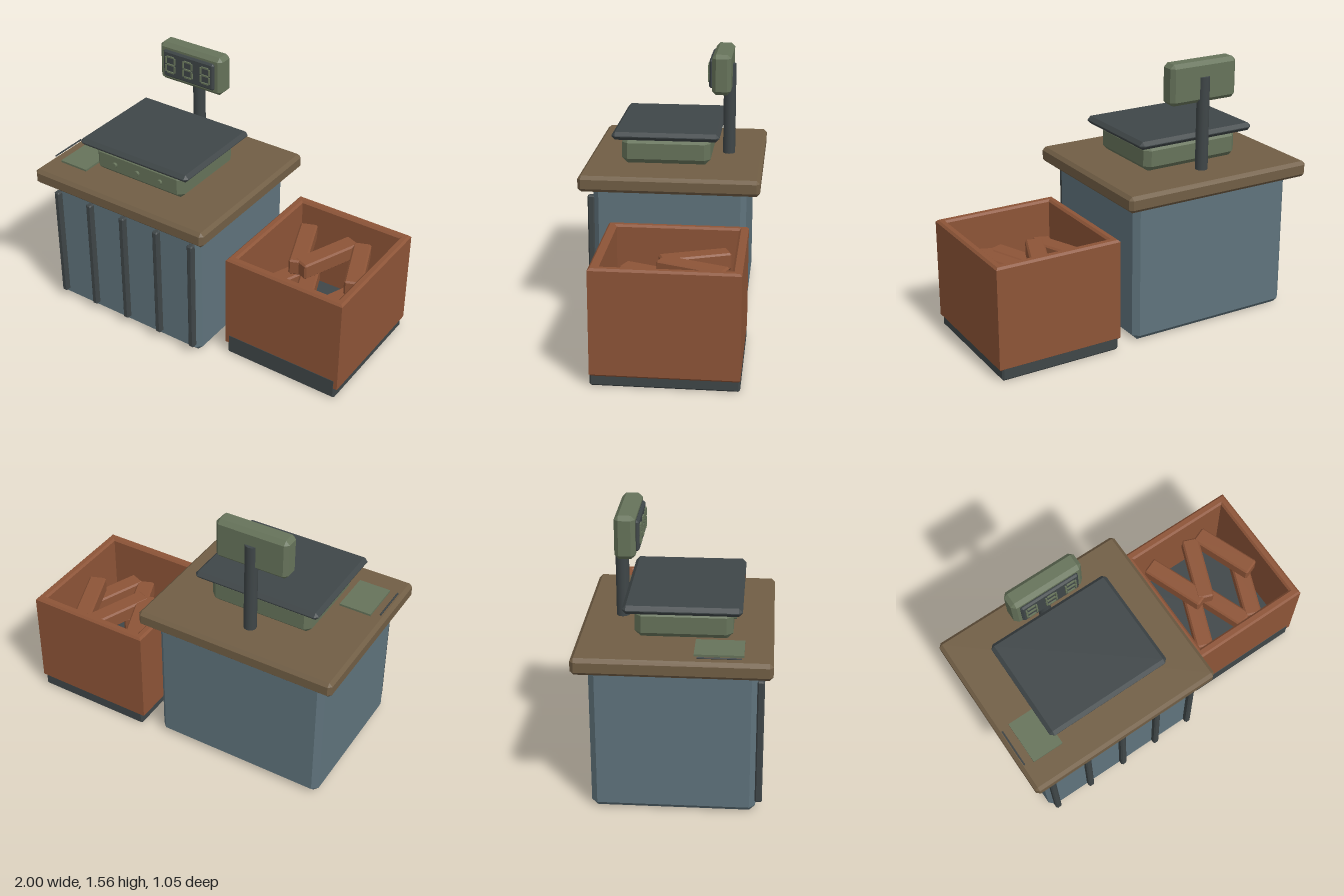
import * as THREE from 'three';
import { ConvexGeometry } from 'three/addons/geometries/ConvexGeometry.js';

const mat = (name, color) => {
  const m = new THREE.MeshStandardMaterial({ color });
  m.name = name;
  return m;
};

// Box with every edge chamfered by c, centred on its origin
function chamferBox(w, h, d, c) {
  const pts = [];
  const [x, y, z] = [w / 2, h / 2, d / 2];
  for (const i of [-1, 1]) for (const j of [-1, 1]) for (const k of [-1, 1]) {
    pts.push(
      new THREE.Vector3(i * x, j * (y - c), k * (z - c)),
      new THREE.Vector3(i * (x - c), j * y, k * (z - c)),
      new THREE.Vector3(i * (x - c), j * (y - c), k * z));
  }
  return new ConvexGeometry(pts);
}

export function createModel() {
  const teal = mat('cabinet teal', 0x5f737c);
  const wood = mat('counter brown', 0x715e45);
  const rust = mat('crate rust', 0x8d5437);
  const dark = mat('charcoal', 0x3f4648);
  const green = mat('sage green', 0x66735a);
  const root = new THREE.Group();
  root.name = 'checkoutCounter';

  const add = (parent, name, geometry, material, x = 0, y = 0, z = 0) => {
    const mesh = new THREE.Mesh(geometry, material);
    mesh.name = name;
    mesh.position.set(x, y, z);
    parent.add(mesh);
    return mesh;
  };
  // Chamfered box given by its extents
  const block = (parent, name, material, [x0, x1], [y0, y1], [z0, z1], c) =>
    add(parent, name, chamferBox(x1 - x0, y1 - y0, z1 - z0, c), material,
      (x0 + x1) / 2, (y0 + y1) / 2, (z0 + z1) / 2);
  const group = (name) => {
    const g = new THREE.Group();
    g.name = name;
    root.add(g);
    return g;
  };

  // Counter: cabinet, front slats and worktop
  const counter = group('counter');
  block(counter, 'cabinet', teal, [-0.92, 0.13], [0, 0.85], [-0.445, 0.445], 0.033);
  for (let i = 0; i < 5; i++) {
    const x = -0.88 + i * 0.2425;
    block(counter, 'frontSlat', dark, [x - 0.019, x + 0.019], [0.053, 0.78], [0.44, 0.48], 0.008);
  }
  block(counter, 'worktop', wood, [-1, 0.21], [0.83, 0.925], [-0.525, 0.522], 0.02);

  // Paper pad and pen
  add(counter, 'paper', new THREE.BoxGeometry(0.19, 0.012, 0.26), green, -0.825, 0.931, 0.24);
  const pen = add(counter, 'pen', new THREE.CylinderGeometry(0.005, 0.005, 0.23, 6), dark, -0.972, 0.943, 0.243);
  pen.rotation.x = Math.PI / 2;

  // Weighing scale
  const scale = group('scale');
  block(scale, 'scaleBody', green, [-0.71, -0.08], [0.92, 1.085], [-0.22, 0.305], 0.035);
  block(scale, 'weighingPlate', dark, [-0.78, -0.01], [1.083, 1.13], [-0.277, 0.355], 0.021);
  for (const x of [-0.558, -0.395, -0.232]) {
    const button = add(scale, 'button', new THREE.CylinderGeometry(0.016, 0.016, 0.02, 10), green, x, 1, 0.31);
    button.rotation.x = Math.PI / 2;
  }

  // Display on its post
  const display = group('display');
  add(display, 'post', new THREE.CylinderGeometry(0.037, 0.037, 0.555, 12), dark, -0.395, 1.1975, -0.313);
  block(display, 'displayHousing', green, [-0.615, -0.175], [1.325, 1.565], [-0.33, -0.218], 0.023);
  block(display, 'screen', dark, [-0.575, -0.215], [1.36, 1.53], [-0.225, -0.2], 0.01);
  const flat = new THREE.BoxGeometry(0.048, 0.009, 0.008);
  const upright = new THREE.BoxGeometry(0.009, 0.042, 0.008);
  for (let d = -1; d <= 1; d++) {
    const x = -0.395 + d * 0.124;
    for (const j of [-1, 0, 1]) add(display, 'segment', flat, green, x, 1.447 + j * 0.05, -0.196);
    for (const i of [-1, 1]) for (const j of [-1, 1])
      add(display, 'segment', upright, green, x + i * 0.031, 1.447 + j * 0.026, -0.196);
  }

  // Open crate: bevelled wall ring on a dark base
  const crate = group('crate');
  const b = 0.012;
  const rect = (Ctor, w, d) => new Ctor([[-w, -d], [w, -d], [w, d], [-w, d]].map(([x, y]) => new THREE.Vector2(x, y)));
  const ring = rect(THREE.Shape, 0.3775 - b, 0.401 - b);
  ring.holes.push(rect(THREE.Path, 0.327 + b, 0.348 + b));
  const walls = new THREE.ExtrudeGeometry(ring, {
    depth: 0.61 - 2 * b, bevelEnabled: true, bevelSize: b, bevelThickness: b, bevelSegments: 1,
  });
  walls.rotateX(-Math.PI / 2);
  add(crate, 'crateWalls', walls, rust, 0.6175, 0.06 + b, -0.067);
  block(crate, 'crateBase', dark, [0.255, 0.98], [0, 0.135], [-0.467, 0.3355], 0.01);

  // Two layers of bars piled in alternating directions
  const bar = chamferBox(0.105, 0.1, 0.4, 0.01);
  for (const [y, z, sign] of [[0.52, -0.18, 1], [0.42, 0.05, -1]]) {
    [0.443, 0.605, 0.81].forEach((x, i) => {
      const piece = add(crate, 'bar', bar, rust, x, y + i * 0.002, z);
      piece.rotation.y = sign * (i % 2 ? -1 : 1) * 0.37;
    });
  }
  return root;
}
